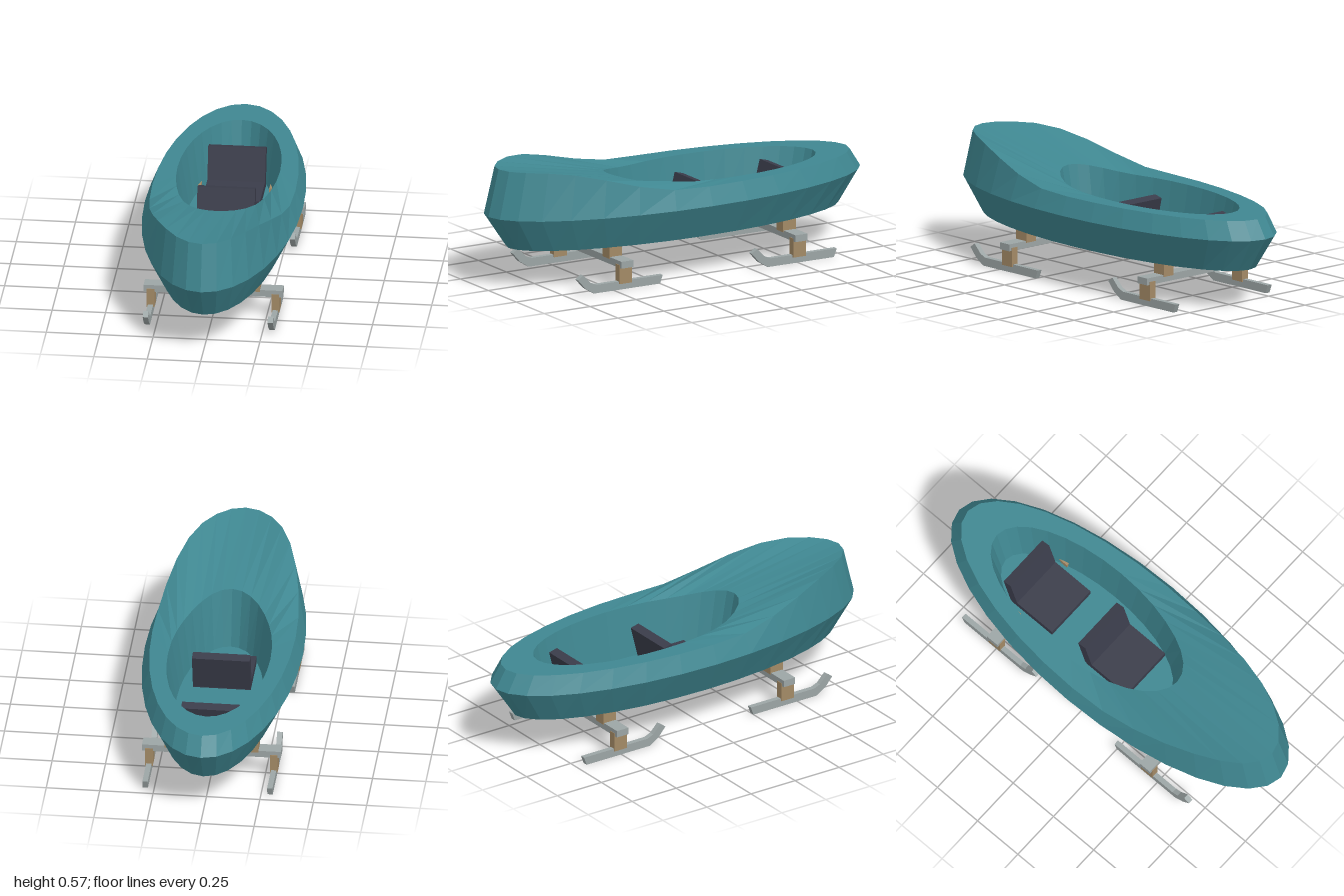
import * as THREE from 'three';

const paint = (name, color) => {
  const m = new THREE.MeshStandardMaterial({ color, flatShading: true });
  m.name = name;
  return m;
};

// Deck height: level at the stern and middle, sweeping up to the bow
const deckY = z => 0.44 + 0.135 * THREE.MathUtils.smoothstep(z, 0.1, 0.82);

// Elliptical rings joined into one skin, from the keel round into the cockpit
function hullGeometry() {
  const SEG = 32;
  // half width, half length, centre z, height (null follows the deck)
  const rings = [
    [0, 0, 0, 0.178],
    [0.284, 0.89, 0, 0.19],
    [0.37, 1, 0, 0.353],
    [0.335, 0.945, 0, null],
    [0.24, 0.56, -0.205, null],
    [0.2, 0.505, -0.205, 0.2],
    [0, 0, -0.205, 0.2],
  ];
  const pos = [], index = [];
  for (const [rx, rz, cz, y] of rings) {
    for (let i = 0; i < SEG; i++) {
      const a = (i / SEG) * Math.PI * 2;
      const z = cz + rz * Math.cos(a);
      pos.push(rx * Math.sin(a), y ?? deckY(z), z);
    }
  }
  for (let r = 0; r < rings.length - 1; r++) {
    for (let i = 0; i < SEG; i++) {
      const j = (i + 1) % SEG;
      const a = r * SEG + i, b = r * SEG + j;
      if (r > 0) index.push(a, b, b + SEG);
      if (r < rings.length - 2) index.push(a, b + SEG, a + SEG);
    }
  }
  const g = new THREE.BufferGeometry();
  g.setAttribute('position', new THREE.Float32BufferAttribute(pos, 3));
  g.setIndex(index);
  g.computeVertexNormals();
  return g;
}

// Ski side profile (z, y) relative to its leg, swept across its width
function skiGeometry() {
  const profile = [
    [-0.19, 0], [0.17, 0], [0.217, 0.03], [0.257, 0.075],
    [0.228, 0.095], [0.187, 0.053], [0.155, 0.04], [-0.205, 0.04],
  ];
  const shape = new THREE.Shape(profile.map(([z, y]) => new THREE.Vector2(z, y)));
  const g = new THREE.ExtrudeGeometry(shape, { depth: 0.025, bevelEnabled: false });
  g.translate(0, 0, -0.0125);
  g.rotateY(-Math.PI / 2);
  return g;
}

export function createModel() {
  const root = new THREE.Group();
  root.name = 'skiBoat';
  const teal = paint('teal hull', 0x3f8791);
  const tan = paint('tan wood', 0xa38a66);
  const grey = paint('grey metal', 0x9ca5a5);
  const dark = paint('dark upholstery', 0x3a3c4a);

  const add = (parent, name, geometry, material, x = 0, y = 0, z = 0) => {
    const mesh = new THREE.Mesh(geometry, material);
    mesh.name = name;
    mesh.position.set(x, y, z);
    parent.add(mesh);
    return mesh;
  };
  const box = (w, h, d) => new THREE.BoxGeometry(w, h, d);

  add(root, 'hull', hullGeometry(), teal);

  // Two seats, one behind the other
  for (const [name, z] of [['frontSeat', 0], ['rearSeat', -0.463]]) {
    const seat = new THREE.Group();
    seat.name = name;
    seat.position.z = z;
    add(seat, 'cushion', box(0.27, 0.045, 0.25), dark, 0, 0.215, 0.035);
    const back = add(seat, 'backrest', box(0.27, 0.18, 0.045), dark, 0, 0.3, -0.096);
    back.rotation.x = -0.25;
    root.add(seat);
  }

  // Front and rear undercarriage: crossbeam, hull blocks, legs and skis
  const ski = skiGeometry();
  for (const [name, z] of [['frontUndercarriage', 0.44], ['rearUndercarriage', -0.507]]) {
    const carriage = new THREE.Group();
    carriage.name = name;
    carriage.position.z = z;
    add(carriage, 'crossbeam', box(0.65, 0.033, 0.065), grey, 0, 0.122, 0);
    for (const [label, s] of [['left', 1], ['right', -1]]) {
      add(carriage, label + 'Block', box(0.06, 0.1, 0.07), tan, s * 0.19, 0.18, 0);
      add(carriage, label + 'Leg', box(0.036, 0.092, 0.07), tan, s * 0.292, 0.074, 0);
      add(carriage, label + 'Ski', ski, grey, s * 0.292, 0, 0);
    }
    root.add(carriage);
  }
  return root;
}
